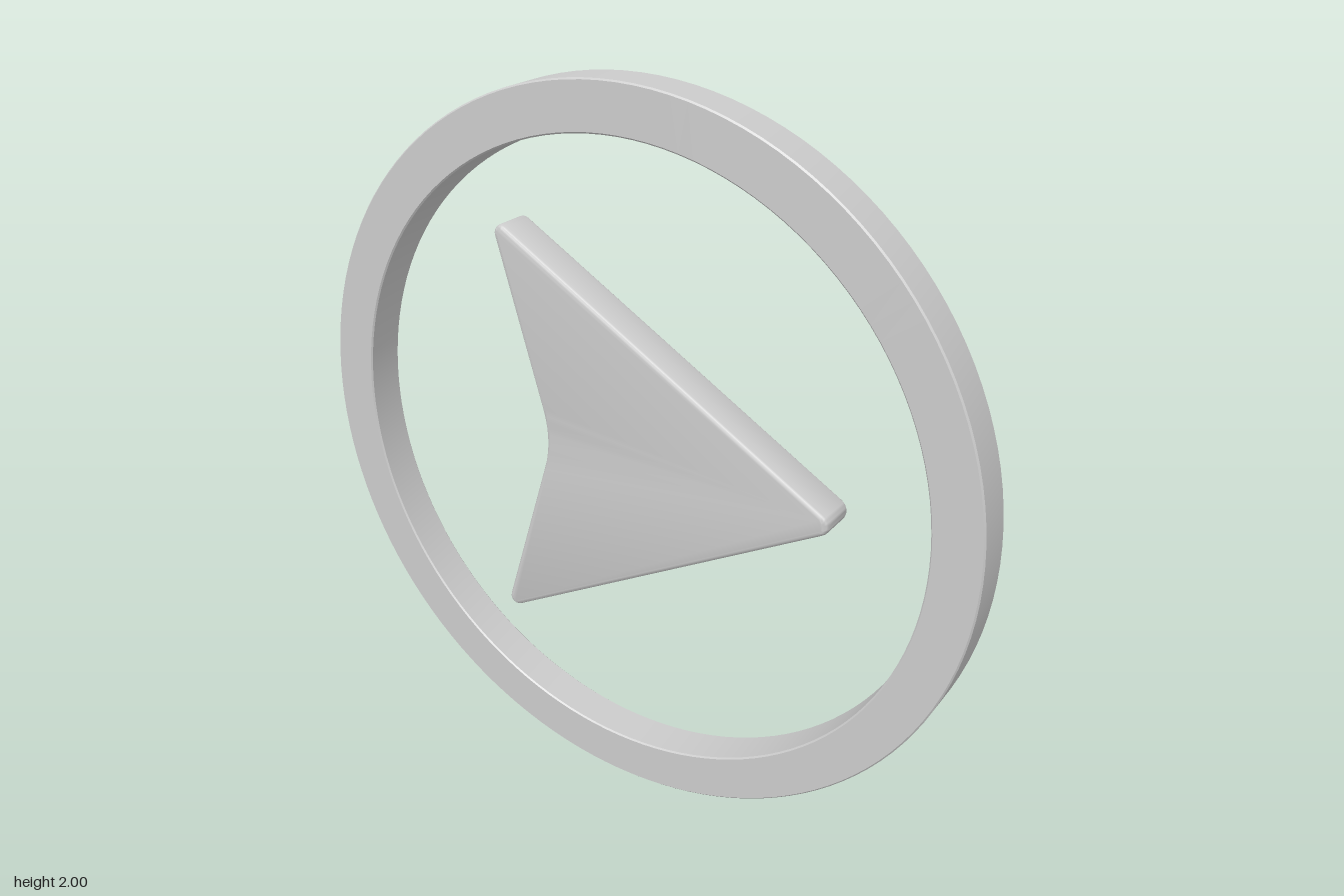
import * as THREE from 'three';
import { toCreasedNormals } from 'three/addons/utils/BufferGeometryUtils.js';

const HALF = 0.056; // half thickness of both parts

// Closed outline with circular corner fillets; each corner is [x, y, tangentLength]
function filletedShape(corners) {
  const shape = new THREE.Shape();
  const n = corners.length;
  corners.forEach(([x, y, t], i) => {
    const p = new THREE.Vector2(x, y);
    const toward = (c) => new THREE.Vector2(c[0], c[1]).sub(p).normalize();
    const back = toward(corners[(i + n - 1) % n]);
    const ahead = toward(corners[(i + 1) % n]);
    const turn = Math.PI - Math.acos(back.dot(ahead));
    const handle = (t / Math.tan(turn / 2)) * (4 / 3) * Math.tan(turn / 4);
    const at = (dir, d) => p.clone().addScaledVector(dir, d);
    const a = at(back, t), b = at(ahead, t);
    const c1 = at(back, t - handle), c2 = at(ahead, t - handle);
    if (i === 0) shape.moveTo(a.x, a.y);
    else shape.lineTo(a.x, a.y);
    shape.bezierCurveTo(c1.x, c1.y, c2.x, c2.y, b.x, b.y);
  });
  shape.closePath();
  return shape;
}

export function createModel() {
  const group = new THREE.Group();
  const material = new THREE.MeshStandardMaterial({ color: 0xcccccc });

  const add = (name, geometry, y) => {
    const mesh = new THREE.Mesh(toCreasedNormals(geometry, 0.6), material);
    mesh.name = name;
    mesh.position.y = y;
    group.add(mesh);
  };

  // Outer ring: rectangular section with tiny chamfers, turned about z
  const inner = 0.87, outer = 1, c = 0.004;
  const section = [
    [inner + c, -HALF], [outer - c, -HALF], [outer, -HALF + c], [outer, HALF - c],
    [outer - c, HALF], [inner + c, HALF], [inner, HALF - c], [inner, -HALF + c],
    [inner + c, -HALF],
  ].map(([x, y]) => new THREE.Vector2(x, y));
  add('ring', new THREE.LatheGeometry(section, 128).rotateX(Math.PI / 2), 1);

  // Arrowhead: notched triangle with rounded corners and softened edges
  const bevel = 0.014;
  const outline = filletedShape([
    [0.643, 0, 0.057],
    [-0.404, 0.602, 0.061],
    [-0.22, 0, 0.09],
    [-0.404, -0.602, 0.061],
  ]);
  const arrow = new THREE.ExtrudeGeometry(outline, {
    depth: 2 * (HALF - bevel),
    bevelThickness: bevel,
    bevelSize: bevel,
    bevelOffset: -bevel,
    bevelSegments: 4,
    curveSegments: 10,
  });
  arrow.translate(0, 0, bevel - HALF);
  add('arrowhead', arrow, 1.018);

  return group;
}
